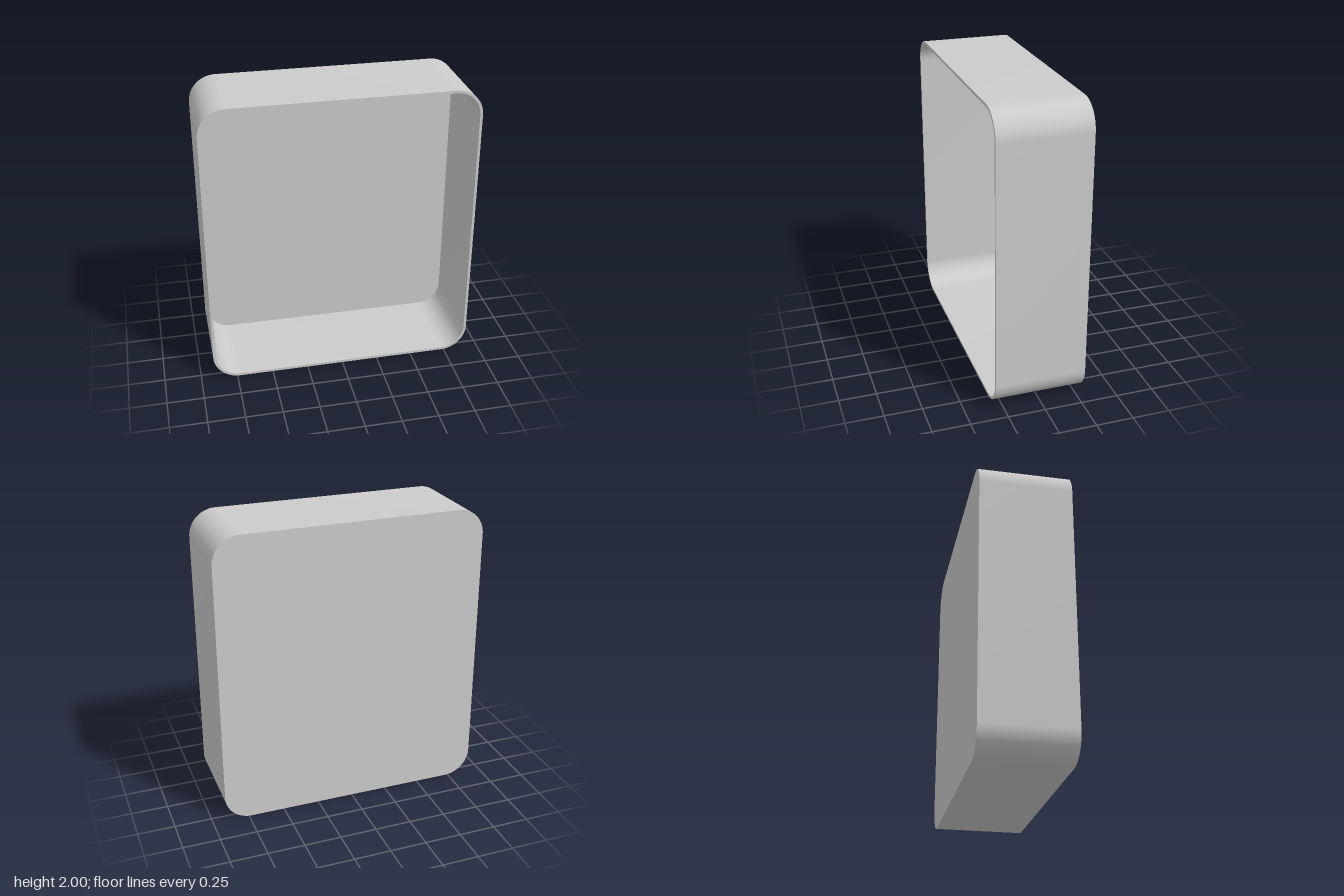
import * as THREE from 'three';
import { toCreasedNormals } from 'three/addons/utils/BufferGeometryUtils.js';

const WIDTH = 1.82, HEIGHT = 2, DEPTH = 0.61, RADIUS = 0.18, WALL = 0.018;

// Rounded rectangle outline, inset evenly from the outer edge
function outline(Type, inset) {
  const x = WIDTH / 2 - inset, y = HEIGHT / 2 - inset, r = RADIUS - inset;
  const path = new Type();
  path.moveTo(-x + r, -y);
  path.absarc(x - r, -y + r, r, -Math.PI / 2, 0);
  path.absarc(x - r, y - r, r, 0, Math.PI / 2);
  path.absarc(-x + r, y - r, r, Math.PI / 2, Math.PI);
  path.absarc(-x + r, -y + r, r, Math.PI, Math.PI * 1.5);
  path.closePath();
  return path;
}

function extrudePart(name, shape, depth, z, material) {
  const geometry = new THREE.ExtrudeGeometry(shape, { depth, bevelEnabled: false, curveSegments: 16 });
  const mesh = new THREE.Mesh(toCreasedNormals(geometry, 0.6), material);
  mesh.name = name;
  mesh.position.set(0, HEIGHT / 2, z);
  return mesh;
}

export function createModel() {
  const group = new THREE.Group();
  group.name = 'openTray';
  const material = new THREE.MeshStandardMaterial({ color: 0xcccccc });

  // Thin rounded wall, open towards the front
  const rim = outline(THREE.Shape, 0);
  rim.holes.push(outline(THREE.Path, WALL));
  group.add(extrudePart('sideWall', rim, DEPTH - WALL, -DEPTH / 2 + WALL, material));

  // Solid panel closing the back
  group.add(extrudePart('backPanel', outline(THREE.Shape, 0), WALL, -DEPTH / 2, material));
  return group;
}
